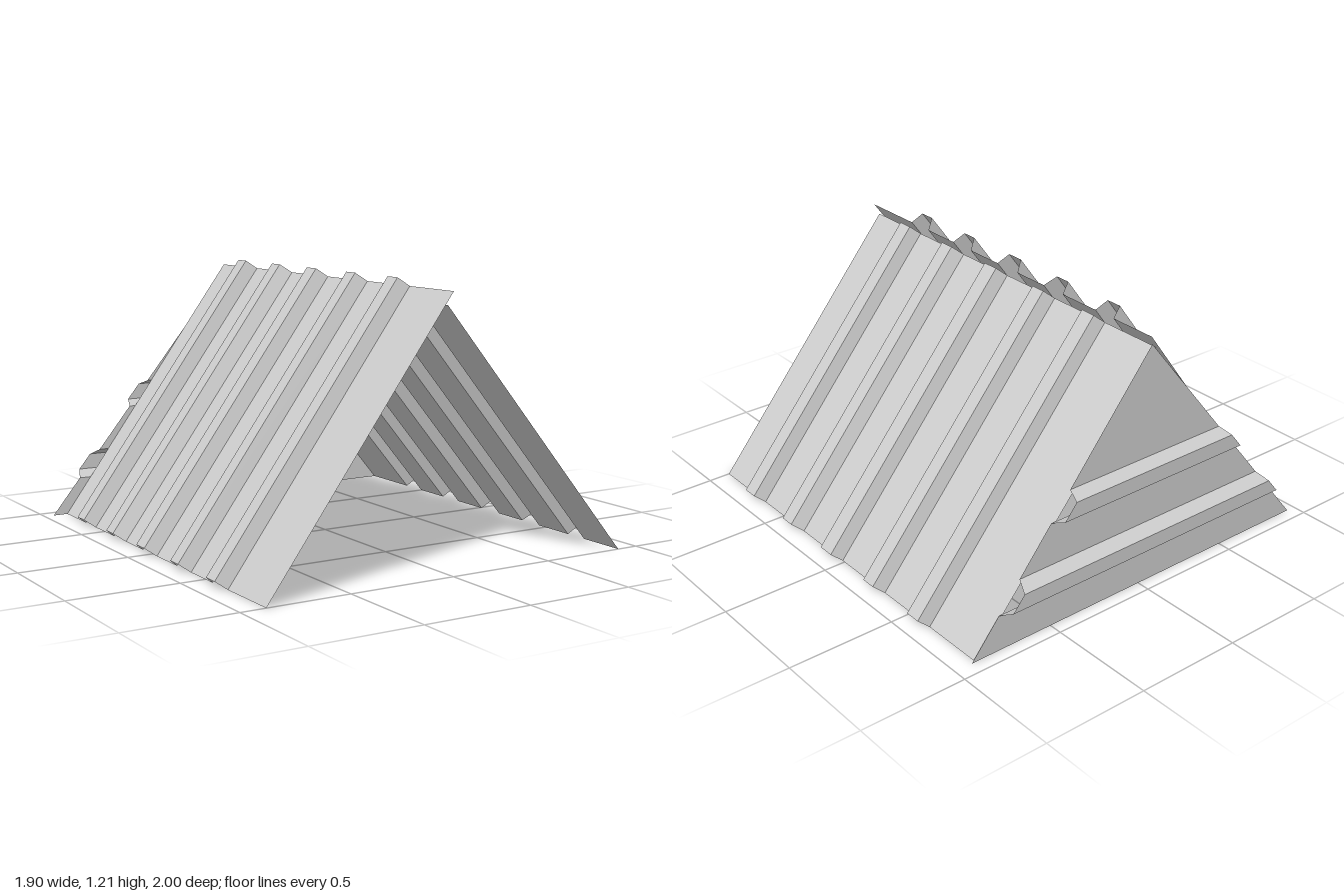
import * as THREE from 'three';

const DEPTH = 0.062; // height of every rib above its sheet
const Z_FRONT = 1, Z_BACK = -0.938;

// Rib sections: start of foot, start of crest, end of crest, end of foot
const ROOF_RIBS = [
  [-0.711, -0.694, -0.62, -0.6],
  [-0.393, -0.369, -0.297, -0.268],
  [-0.09, -0.053, 0.027, 0.048],
  [0.241, 0.279, 0.35, 0.371],
  [0.562, 0.6, 0.674, 0.692],
];
const GABLE_RIBS = [
  [0.17, 0.2, 0.27, 0.3],
  [0.5, 0.525, 0.597, 0.62],
];

// Folded section as [position, height] pairs
function foldedSection(start, end, ribs) {
  const section = [[start, 0]];
  for (const [a, b, c, d] of ribs) section.push([a, 0], [b, DEPTH], [c, DEPTH], [d, 0]);
  section.push([end, 0]);
  return section;
}

// Sheet of flat strips; place(position, height, side) gives the point on edge 0 or 1
function foldedSheet(name, section, place) {
  const positions = [];
  for (let i = 0; i < section.length - 1; i++) {
    const a = place(...section[i], 0), b = place(...section[i], 1);
    const c = place(...section[i + 1], 1), d = place(...section[i + 1], 0);
    positions.push(...a, ...b, ...c, ...a, ...c, ...d);
  }
  const geometry = new THREE.BufferGeometry();
  geometry.setAttribute('position', new THREE.Float32BufferAttribute(positions, 3));
  geometry.computeVertexNormals();
  const material = new THREE.MeshStandardMaterial({
    color: 0xcccccc, flatShading: true, side: THREE.DoubleSide,
  });
  const mesh = new THREE.Mesh(geometry, material);
  mesh.name = name;
  return mesh;
}

// Sloping roof sheet between an eave and a ridge point, ribs raised outwards
function roofSheet(name, eave, ridge, section) {
  const dx = ridge[0] - eave[0], dy = ridge[1] - eave[1];
  const length = Math.hypot(dx, dy), out = Math.sign(eave[0]);
  const nx = (out * dy) / length, ny = (out * -dx) / length;
  return foldedSheet(name, section, (z, h, side) => {
    const [x, y] = side ? ridge : eave;
    return [x + nx * h, y + ny * h, z];
  });
}

export function createModel() {
  const model = new THREE.Group();
  model.name = 'corrugatedShelter';

  // The two roof sheets: the left one is the same sheet turned end for end
  const section = foldedSection(Z_BACK, Z_FRONT, ROOF_RIBS);
  const turned = section.map(([z, h]) => [Z_BACK + Z_FRONT - z, h]);
  model.add(roofSheet('rightRoofSheet', [-0.885, 0], [-0.015, 1.175], section));
  model.add(roofSheet('leftRoofSheet', [0.897, 0], [-0.043, 1.12], turned));

  // Triangular back wall with level ribs raised to the rear
  const apex = [-0.02, 1.14];
  const base = [-0.955, 0.915];
  model.add(foldedSheet('backWall', foldedSection(0, apex[1], GABLE_RIBS), (y, h, side) => [
    THREE.MathUtils.lerp(base[side], apex[0], y / apex[1]), y, Z_BACK - h,
  ]));

  return model;
}
